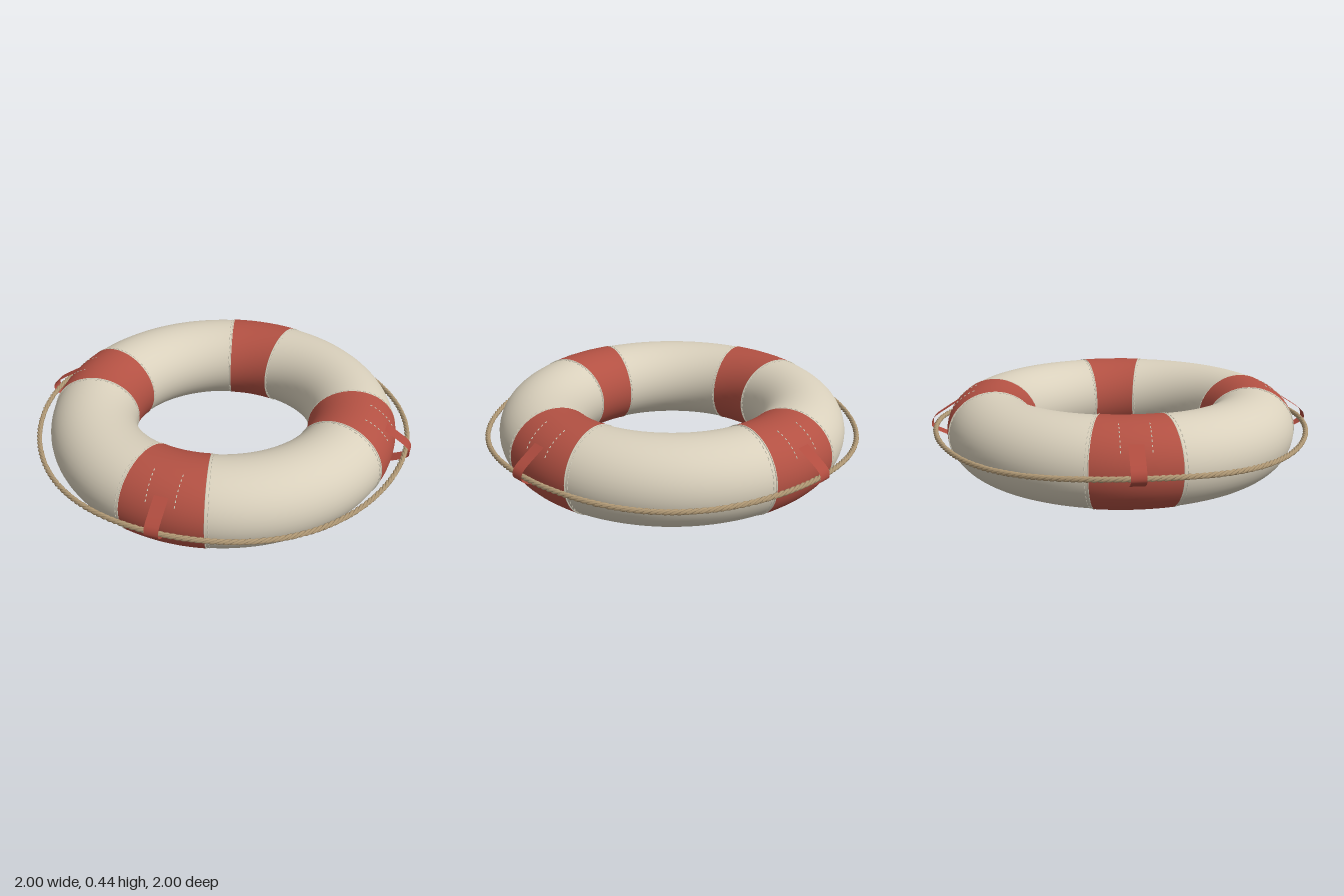
import * as THREE from 'three';
import { mergeGeometries } from 'three/addons/utils/BufferGeometryUtils.js';

const RING = 0.688, RX = 0.227, RY = 0.214, MID = 0.218;
const BAND = THREE.MathUtils.degToRad(13.4);

function material(name, color, side = THREE.FrontSide) {
  const m = new THREE.MeshStandardMaterial({ color, side });
  m.name = name;
  return m;
}

// Point on the tube: phi runs round the ring, t round the cross-section
function onTube(phi, t, lift = 0) {
  const r = RING + (RX + lift) * Math.cos(t);
  return new THREE.Vector3(r * Math.sin(phi), MID + (RY + lift) * Math.sin(t), r * Math.cos(phi));
}

// Section of the oval tube, centred on +z
function tubeSection(lift, arc, segments) {
  const g = new THREE.TorusGeometry(RING, RX + lift, 48, segments, arc);
  g.rotateX(-Math.PI / 2);
  g.rotateY(-Math.PI / 2 - arc / 2 + Math.PI);
  g.scale(1, (RY + lift) / (RX + lift), 1);
  g.translate(0, MID, 0);
  return g;
}

function stitch(a, b, radius) {
  return new THREE.TubeGeometry(new THREE.LineCurve3(a, b), 1, radius, 5, false);
}

// One strand of the laid rope, dipping slightly between the straps
class Strand extends THREE.Curve {
  constructor(phase) {
    super();
    this.phase = phase;
    this.arcLengthDivisions = 3000;
  }
  getPoint(u, target = new THREE.Vector3()) {
    const a = u * Math.PI * 2, w = a * 66 + this.phase;
    const r = 0.976 + 0.0065 * Math.cos(w);
    const y = 0.223 + 0.012 * Math.cos(4 * a) + 0.0065 * Math.sin(w);
    return target.set(r * Math.sin(a), y, r * Math.cos(a));
  }
}

// Flat webbing strip bent along a side profile
function strapGeometry() {
  const path = new THREE.CatmullRomCurve3([
    [0.355, 0.866], [0.318, 0.925], [0.275, 0.986], [0.252, 0.999],
    [0.228, 0.999], [0.21, 0.98], [0.178, 0.912],
  ].map(([y, z]) => new THREE.Vector3(0, y, z)));
  const g = new THREE.PlaneGeometry(0.07, 1, 1, 24);
  const p = g.attributes.position;
  for (let i = 0; i < p.count; i++) {
    const q = path.getPoint(0.5 - p.getY(i));
    p.setXYZ(i, p.getX(i), q.y, q.z);
  }
  g.computeVertexNormals();
  return g;
}

export function createModel() {
  const model = new THREE.Group();
  model.name = 'lifeRing';
  const cream = material('creamCanvas', 0xd9d0bc);
  const red = material('redCanvas', 0xb35143);
  const webbing = material('redWebbing', 0xb04c3f, THREE.DoubleSide);
  const ropeTan = material('ropeTan', 0xb29a76);
  const thread = material('paleThread', 0xd8d2bf);

  const add = (parent, name, geometry, mat) => {
    const mesh = new THREE.Mesh(geometry, mat);
    mesh.name = name;
    parent.add(mesh);
    return mesh;
  };

  add(model, 'ringBody', tubeSection(0, Math.PI * 2, 128), cream);

  // Seam piping and dashes along both edges of a band
  const piping = [], dashes = [];
  for (const side of [-1, 1]) {
    const loop = [];
    for (let i = 0; i < 48; i++) loop.push(onTube(side * BAND, i / 48 * Math.PI * 2, 0.001));
    piping.push(new THREE.TubeGeometry(new THREE.CatmullRomCurve3(loop, true), 96, 0.0035, 6, true));
    for (let i = 0; i < 48; i++) {
      const t = i / 48 * Math.PI * 2;
      const phi = side * (BAND + 0.018);
      dashes.push(stitch(onTube(phi, t, 0.001), onTube(phi, t + 0.075, 0.001), 0.0025));
    }
  }

  // Two short rows of stitches above the strap
  const rows = [];
  for (const side of [-1, 1]) {
    for (let i = 0; i < 7; i++) {
      const at = (t) => {
        const r = RING + RX * Math.cos(t);
        return onTube(side * Math.asin(0.07 / r), t, 0.004);
      };
      const t = 0.5 + i * 0.11;
      rows.push(stitch(at(t), at(t + 0.05), 0.0025));
    }
  }

  const shared = [
    ['redBand', tubeSection(0.003, BAND * 2, 14), red],
    ['seamPiping', mergeGeometries(piping), thread],
    ['seamStitches', mergeGeometries(dashes), thread],
    ['strapStitches', mergeGeometries(rows), thread],
    ['ropeStrap', strapGeometry(), webbing],
  ];
  for (let k = 0; k < 4; k++) {
    const quarter = new THREE.Group();
    quarter.name = 'band' + (k + 1);
    quarter.rotation.y = k * Math.PI / 2;
    for (const [name, geometry, mat] of shared) add(quarter, name, geometry, mat);
    model.add(quarter);
  }

  // Grab rope of three twisted strands
  const rope = new THREE.Group();
  rope.name = 'grabRope';
  for (let s = 0; s < 3; s++) {
    const curve = new Strand(s * Math.PI * 2 / 3);
    add(rope, 'strand' + (s + 1), new THREE.TubeGeometry(curve, 900, 0.0075, 6, true), ropeTan);
  }
  model.add(rope);
  return model;
}
